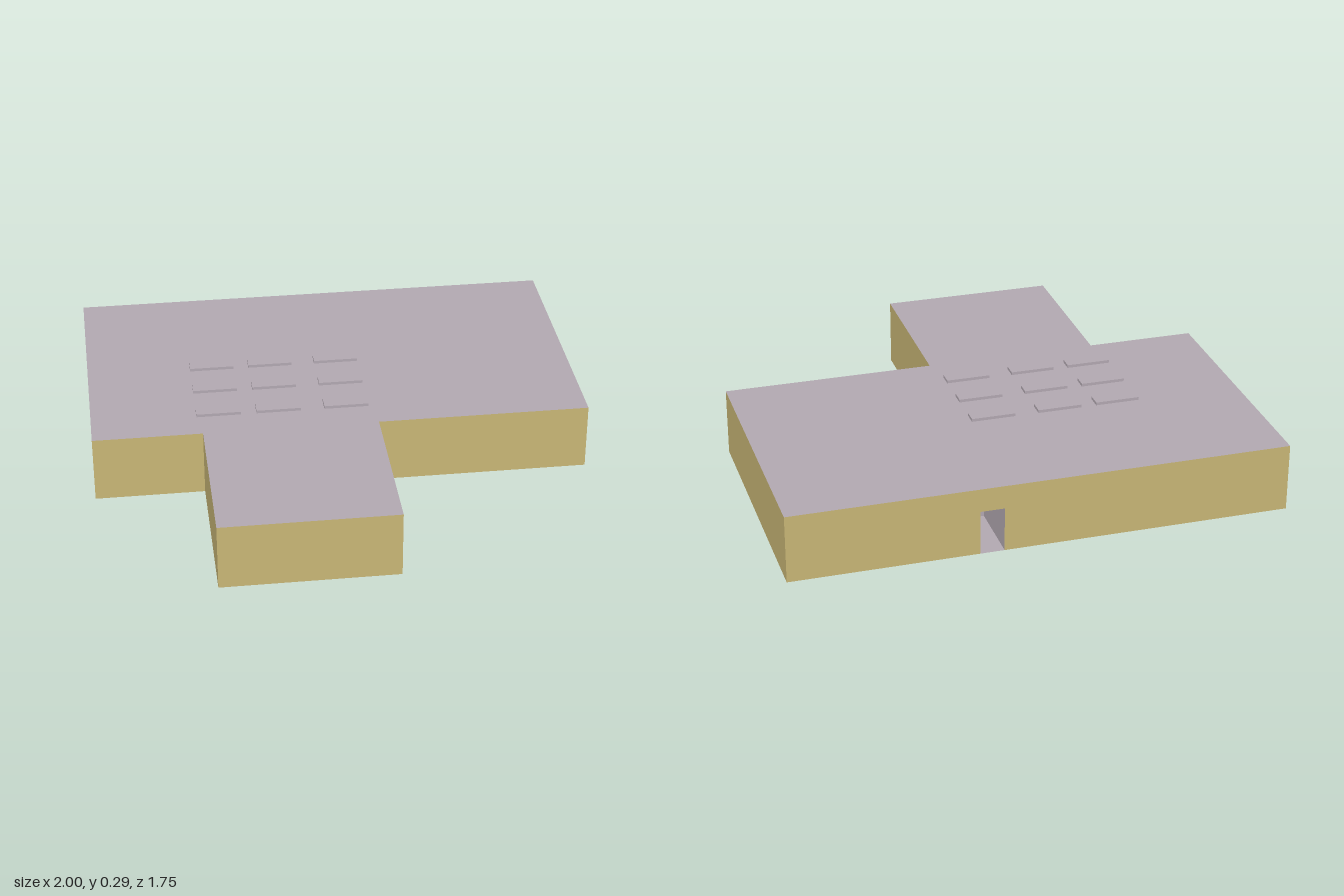
import * as THREE from 'three';

const HEIGHT = 0.275, DOOR_TOP = 0.18, BACK = -0.875;
const DOOR_X0 = 0.15, DOOR_X1 = 0.245;

// T-shaped footprint as [x, z], starting at the back right corner
const FOOTPRINT = [
  [0.99, BACK], [1, 0.21], [0.145, 0.21], [0.145, 0.87],
  [-0.56, 0.87], [-0.56, 0.21], [-1, 0.21], [-1, BACK],
];

// Inside faces of the doorway: short jamb, side pocket, back, long jamb
const ENTRY = [
  [DOOR_X1, BACK], [DOOR_X1, -0.815], [0.42, -0.815],
  [0.42, -0.6], [DOOR_X0, -0.6], [DOOR_X0, BACK],
];

export function createModel() {
  const group = new THREE.Group();
  group.name = 'building';

  const material = (name, color) => {
    const m = new THREE.MeshStandardMaterial({ color, side: THREE.DoubleSide });
    m.name = name;
    return m;
  };
  const tan = material('tan wall', 0xc8b676);
  const mauve = material('mauve grey roof', 0xb2a8b1);

  const add = (name, geometry, mat, x = 0, y = 0, z = 0) => {
    const mesh = new THREE.Mesh(geometry, mat);
    mesh.name = name;
    mesh.position.set(x, y, z);
    group.add(mesh);
    return mesh;
  };

  // Upright panel between two footprint points, facing right of its direction
  const wall = (name, [ax, az], [bx, bz], y0, y1, mat) => {
    const panel = add(name, new THREE.PlaneGeometry(Math.hypot(bx - ax, bz - az), y1 - y0), mat,
      (ax + bx) / 2, (y0 + y1) / 2, (az + bz) / 2);
    panel.rotation.y = Math.atan2(az - bz, bx - ax) + Math.PI;
  };

  // Flat plate with the given [x, z] outline
  const plate = (name, outline, y, up) => {
    const s = up ? -1 : 1;
    const shape = new THREE.Shape(outline.map(([x, z]) => new THREE.Vector2(x, s * z)));
    const geometry = new THREE.ShapeGeometry(shape);
    geometry.rotateX(s * Math.PI / 2);
    add(name, geometry, mauve, 0, y, 0);
  };

  plate('floor', FOOTPRINT, 0, false);
  plate('roof', FOOTPRINT, HEIGHT, true);

  // Outer walls; the last one, at the back, is split around the doorway
  for (let i = 0; i < FOOTPRINT.length - 1; i++) {
    wall('outerWall', FOOTPRINT[i], FOOTPRINT[i + 1], 0, HEIGHT, tan);
  }
  wall('backWall', [-1, BACK], [DOOR_X0, BACK], 0, HEIGHT, tan);
  wall('backWall', [DOOR_X1, BACK], [0.99, BACK], 0, HEIGHT, tan);
  wall('doorLintel', [DOOR_X0, BACK], [DOOR_X1, BACK], DOOR_TOP, HEIGHT, tan);

  // Recessed entry
  for (let i = 0; i < ENTRY.length - 1; i++) {
    wall('entryWall', ENTRY[i], ENTRY[i + 1], 0, DOOR_TOP, mauve);
  }
  plate('entryCeiling', ENTRY, DOOR_TOP, false);

  // Three by three grid of low roof units
  const unit = new THREE.BoxGeometry(0.18, 0.012, 0.057);
  for (const x of [-0.487, -0.245, 0.03]) {
    for (const z of [0.057, -0.126, -0.304]) {
      add('roofUnit', unit, mauve, x, HEIGHT + 0.006, z);
    }
  }
  return group;
}
